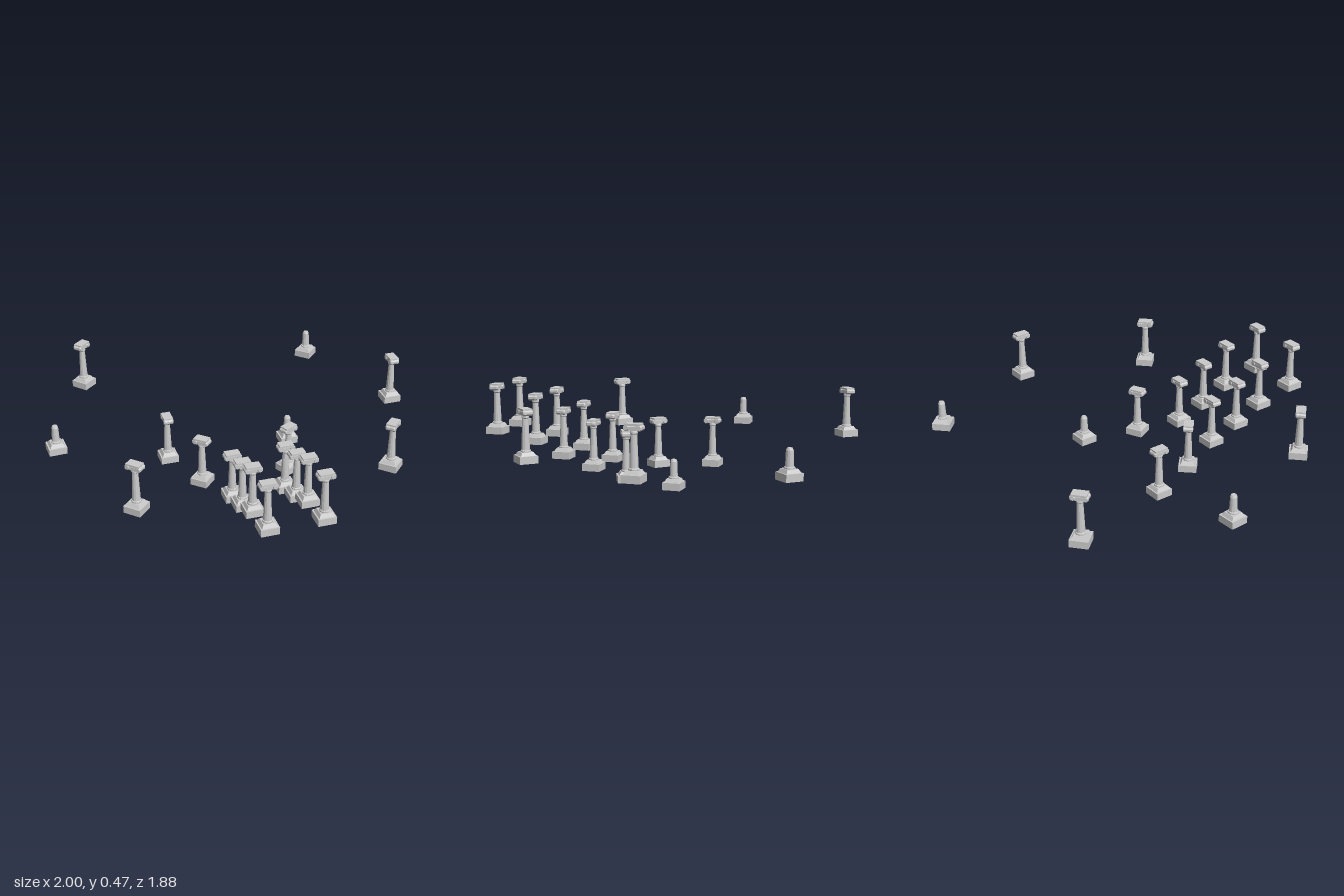
import * as THREE from 'three';

const stone = new THREE.MeshStandardMaterial({ color: 0xcccccc, flatShading: true });

function part(name, geometry, parent, x = 0, y = 0, z = 0) {
  const mesh = new THREE.Mesh(geometry, stone);
  mesh.name = name;
  mesh.position.set(x, y, z);
  parent.add(mesh);
  return mesh;
}

const lathe = (points, sides) =>
  new THREE.LatheGeometry(points.map(([r, y]) => new THREE.Vector2(r, y)), sides);

// Shared geometries
const plinthGeo = new THREE.BoxGeometry(0.094, 0.038, 0.096);
const stepGeo = new THREE.CylinderGeometry(0.03 * Math.SQRT2, 0.04 * Math.SQRT2, 0.018, 4).rotateY(Math.PI / 4);
const wholeShaftGeo = lathe([
  [0.026, 0.055], [0.027, 0.059], [0.026, 0.064], [0.022, 0.066],
  [0.0155, 0.222], [0.019, 0.226], [0.019, 0.232], [0.016, 0.24]], 12);
const brokenShaftGeo = lathe([
  [0.026, 0.055], [0.027, 0.059], [0.026, 0.064], [0.021, 0.066],
  [0.018, 0.142], [0.013, 0.153], [0, 0.153]], 12);
const scrollGeo = lathe([
  [0, -0.026], [0.012, -0.026], [0.016, -0.02], [0.0145, 0],
  [0.016, 0.02], [0.012, 0.026], [0, 0.026]], 8).rotateY(Math.PI / 8).rotateX(Math.PI / 2);
const cushionGeo = new THREE.BoxGeometry(0.064, 0.018, 0.044);
const abacusGeo = new THREE.BoxGeometry(0.076, 0.01, 0.05);

function column(name, x, y, z, degrees, broken = false) {
  const group = new THREE.Group();
  group.name = name;
  group.position.set(x, y, z);
  group.rotation.y = THREE.MathUtils.degToRad(degrees);
  part('plinth', plinthGeo, group, 0, 0.019, 0);
  part('plinthStep', stepGeo, group, 0, 0.047, 0);
  part('shaft', broken ? brokenShaftGeo : wholeShaftGeo, group);
  if (!broken) {
    // Capital with a scroll at each end
    part('capitalCushion', cushionGeo, group, 0, 0.249, 0);
    for (const s of [-1, 1]) part('capitalScroll', scrollGeo, group, s * 0.031, 0.252, 0);
    part('abacus', abacusGeo, group, 0, 0.267, 0);
  }
  return group;
}

export function createModel() {
  const model = new THREE.Group();
  model.name = 'columnRuins';

  // Rising avenue of paired columns
  for (const [z, y] of [[0.326, 0.032], [0.497, 0.088], [0.658, 0.157], [0.885, 0.202]])
    for (const s of [-1, 1]) model.add(column('avenueColumn', s * 0.143, y, z, 0));

  // Inner ring at ground level
  model.add(
    column('innerColumn', -0.35, 0, -0.187, 90),
    column('brokenInnerColumn', 0.335, 0, -0.184, 90, true),
    column('innerColumn', -0.236, 0, 0.092, -43),
    column('innerColumn', 0.238, 0, 0.107, 26));

  // Raised outer ring
  const h = 0.154;
  model.add(
    column('outerColumn', -0.665, h, -0.875, 41),
    column('brokenOuterColumn', 0.687, h, -0.857, -45, true),
    column('brokenOuterColumn', -0.95, h, -0.203, 93, true),
    column('outerColumn', 0.95, h, -0.193, 90),
    column('outerColumn', -0.676, h, 0.467, -45),
    column('outerColumn', 0.666, h, 0.478, 45));

  return model;
}
